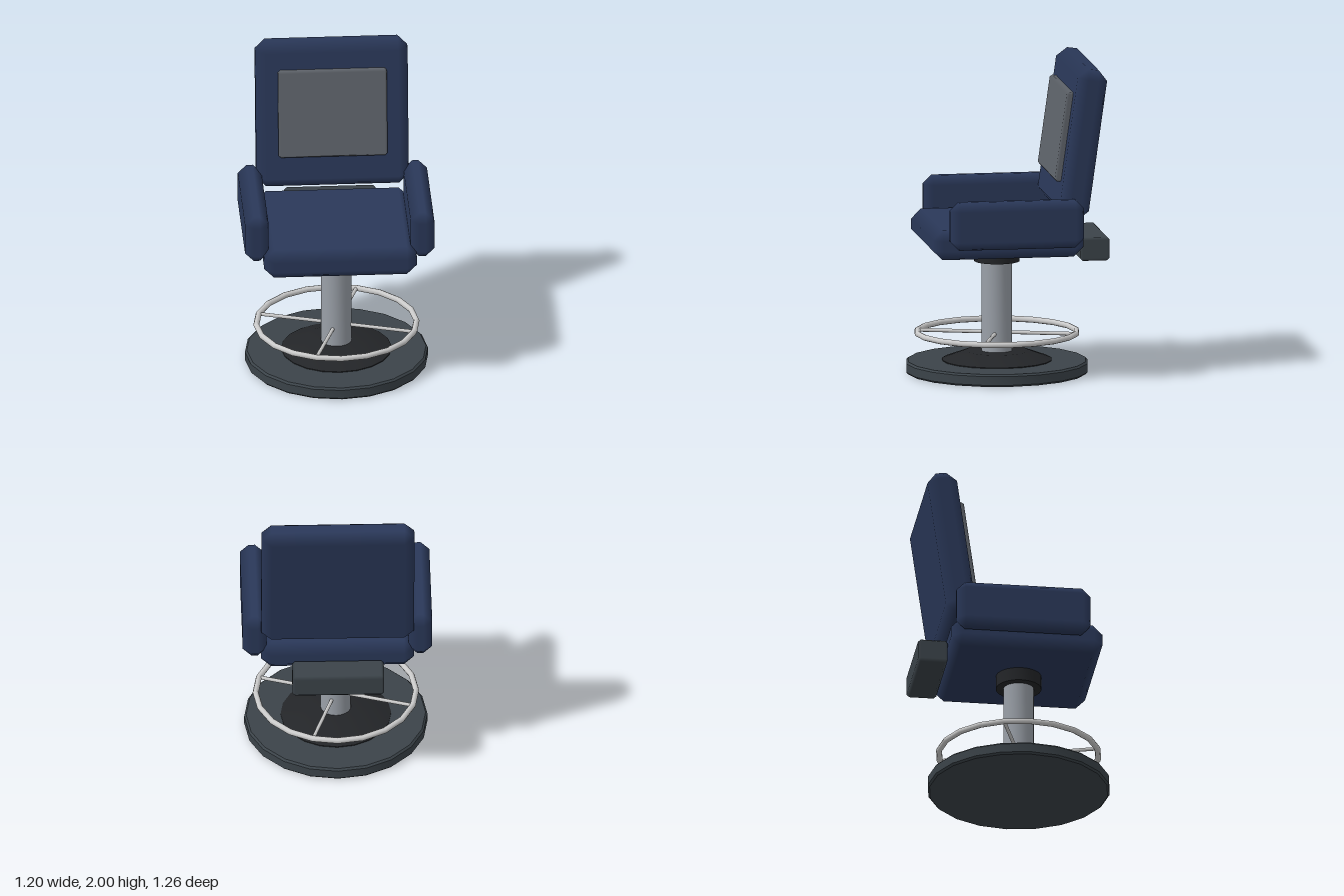
import * as THREE from 'three';
import { toCreasedNormals } from 'three/addons/utils/BufferGeometryUtils.js';
import { ConvexGeometry } from 'three/addons/geometries/ConvexGeometry.js';

const AXIS_Z = 0.053; // centre line of the pedestal
const mat = (color) => new THREE.MeshStandardMaterial({ color });
const navy = mat(0x2a3859), dark = mat(0x3b4349), black = mat(0x232528);
const steel = mat(0x9aa0a8), chrome = mat(0xc4c6c8), panelGrey = mat(0x5f646b);

// Box with every edge cut at 45 degrees; each vertex keeps the normal of its main face
function chamferBox(w, h, d, b) {
  const half = [w / 2, h / 2, d / 2], points = [];
  for (let axis = 0; axis < 3; axis++)
    for (const sx of [-1, 1]) for (const sy of [-1, 1]) for (const sz of [-1, 1]) {
      const p = [sx, sy, sz].map((s, i) => s * (half[i] - (i === axis ? 0 : b)));
      points.push(new THREE.Vector3(...p));
    }
  const geo = new ConvexGeometry(points);
  const pos = geo.attributes.position, normal = geo.attributes.normal;
  for (let i = 0; i < pos.count; i++) {
    const p = [pos.getX(i), pos.getY(i), pos.getZ(i)];
    normal.setXYZ(i, ...p.map((v, k) => (Math.abs(Math.abs(v) - half[k]) < 1e-4 ? Math.sign(v) : 0)));
  }
  return geo;
}

// Turned part from [radius, height] pairs, bottom to top
function turned(profile) {
  const pts = profile.map(([r, y]) => new THREE.Vector2(r, y));
  return toCreasedNormals(new THREE.LatheGeometry(pts, 20), 0.4);
}

function add(parent, name, geometry, material, x = 0, y = 0, z = 0) {
  const mesh = new THREE.Mesh(geometry, material);
  mesh.name = name;
  mesh.position.set(x, y, z);
  parent.add(mesh);
  return mesh;
}

export function createModel() {
  const chair = new THREE.Group();
  chair.name = 'swivelChair';

  // Pedestal: floor disc, cone, pole and collar
  const pedestal = new THREE.Group();
  pedestal.name = 'pedestal';
  pedestal.position.z = AXIS_Z;
  chair.add(pedestal);
  add(pedestal, 'baseDisc', turned([[0, 0], [0.568, 0], [0.58, 0.012], [0.58, 0.068], [0.568, 0.08], [0, 0.08]]), dark);
  add(pedestal, 'baseCone', turned([[0.35, 0.075], [0.35, 0.085], [0.2, 0.14], [0, 0.14]]), black);
  add(pedestal, 'pole', turned([[0.097, 0.12], [0.097, 0.75]]), steel);
  add(pedestal, 'collar', turned([[0, 0.715], [0.145, 0.715], [0.145, 0.82], [0, 0.82]]), black);

  // Foot ring with four spokes
  const footRest = new THREE.Group();
  footRest.name = 'footRest';
  footRest.position.y = 0.258;
  pedestal.add(footRest);
  add(footRest, 'footRing', new THREE.TorusGeometry(0.508, 0.019, 8, 20), chrome).rotation.x = Math.PI / 2;
  for (let i = 0; i < 4; i++) {
    const arm = new THREE.Group();
    arm.name = 'spokeArm';
    arm.rotation.y = -Math.PI / 10 + (i * Math.PI) / 2;
    footRest.add(arm);
    add(arm, 'spoke', new THREE.CylinderGeometry(0.012, 0.012, 0.43, 8), chrome, 0.29).rotation.z = Math.PI / 2;
  }

  // Cushions
  add(chair, 'seat', chamferBox(0.967, 0.19, 0.967, 0.062), navy, 0, 0.895, 0.05);
  for (const s of [-1, 1])
    add(chair, s > 0 ? 'leftArmrest' : 'rightArmrest', chamferBox(0.15, 0.307, 0.855, 0.055), navy, s * 0.525, 1.032, 0.012);

  // Reclined backrest with its inset panel
  const back = new THREE.Group();
  back.name = 'backrest';
  back.position.set(0, 1.518, -0.432);
  back.rotation.x = THREE.MathUtils.degToRad(-8);
  chair.add(back);
  add(back, 'backCushion', chamferBox(0.967, 0.965, 0.19, 0.062), navy);
  add(back, 'backPanel', chamferBox(0.69, 0.577, 0.06, 0.014), panelGrey, 0, 0.022, 0.104);

  // Box behind the seat
  add(chair, 'rearBox', chamferBox(0.58, 0.15, 0.19, 0.017), dark, 0, 0.82, -0.531);

  return chair;
}
